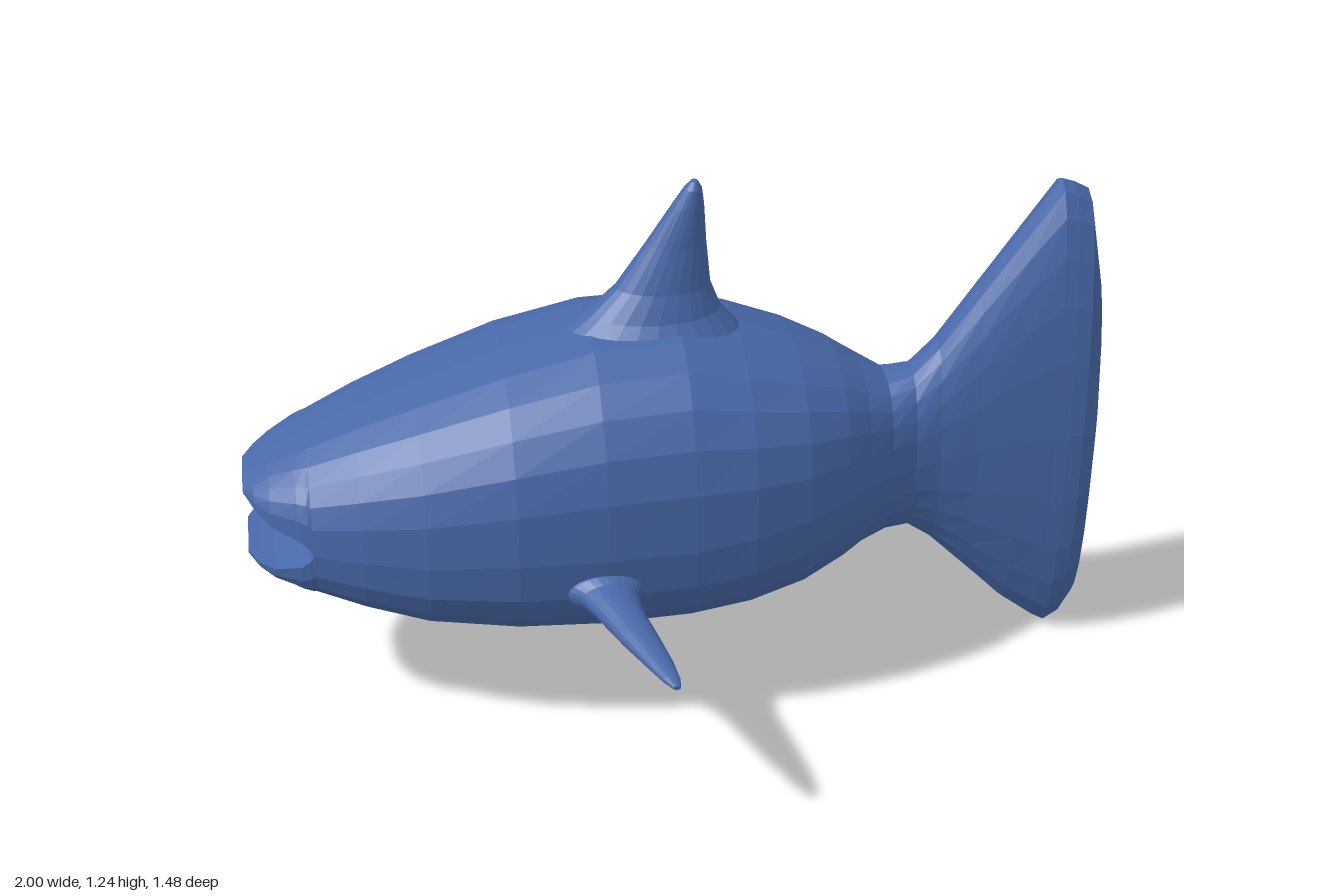
import * as THREE from 'three';

const SEGMENTS = 24;

// Skin a row of superellipse sections along x.
// Section: [x, yBottom, yMid, yTop, halfWidth, zCentre]; n sets the squareness.
function loft(sections, n = 2.5) {
  const pos = [], index = [];
  const power = (v) => Math.sign(v) * Math.abs(v) ** (2 / n);
  for (const [x, lo, mid, hi, w, zc = 0] of sections) {
    for (let j = 0; j < SEGMENTS; j++) {
      const a = (j / SEGMENTS) * Math.PI * 2;
      const c = power(Math.cos(a)), s = power(Math.sin(a));
      pos.push(x, mid + c * (c > 0 ? hi - mid : mid - lo), zc + w * s);
    }
  }
  const last = sections.length - 1;
  for (let i = 0; i < last; i++) {
    for (let j = 0; j < SEGMENTS; j++) {
      const k = (j + 1) % SEGMENTS;
      const a = i * SEGMENTS + j, b = i * SEGMENTS + k;
      index.push(a, b, a + SEGMENTS, b, b + SEGMENTS, a + SEGMENTS);
    }
  }
  // end caps
  for (const i of [0, last]) {
    const [x, lo, mid, hi, , zc = 0] = sections[i];
    const centre = pos.length / 3;
    pos.push(x, (lo + hi) / 2, zc);
    for (let j = 0; j < SEGMENTS; j++) {
      const a = i * SEGMENTS + j, b = i * SEGMENTS + ((j + 1) % SEGMENTS);
      index.push(centre, ...(i === 0 ? [b, a] : [a, b]));
    }
  }
  const geo = new THREE.BufferGeometry();
  geo.setAttribute('position', new THREE.Float32BufferAttribute(pos, 3));
  geo.setIndex(index);
  geo.computeVertexNormals();
  return geo;
}

export function createModel() {
  const group = new THREE.Group();
  const blue = new THREE.MeshStandardMaterial({ color: 0x4868a8, flatShading: true });
  blue.name = 'fish blue';

  const add = (name, geo) => {
    const mesh = new THREE.Mesh(geo, blue);
    mesh.name = name;
    group.add(mesh);
  };

  // Body, from the corner of the mouth to the tail root
  add('body', loft([
    [-0.85, 0.32, 0.49, 0.685, 0.235],
    [-0.74, 0.28, 0.49, 0.735, 0.28],
    [-0.6, 0.24, 0.49, 0.79, 0.325],
    [-0.4, 0.215, 0.5, 0.86, 0.362],
    [-0.2, 0.205, 0.5, 0.91, 0.367],
    [0, 0.208, 0.5, 0.92, 0.357],
    [0.14, 0.222, 0.51, 0.885, 0.337],
    [0.27, 0.25, 0.52, 0.84, 0.295],
    [0.37, 0.285, 0.53, 0.795, 0.235],
    [0.43, 0.31, 0.53, 0.76, 0.185],
    [0.49, 0.33, 0.53, 0.73, 0.135, 0.01],
    [0.55, 0.33, 0.53, 0.745, 0.105, 0.015],
  ]));

  // Tail, flaring into a tall fan with a bulging rear face
  add('tail', loft([
    [0.55, 0.33, 0.53, 0.745, 0.105, 0.015],
    [0.61, 0.285, 0.54, 0.81, 0.098, 0.015],
    [0.7, 0.19, 0.56, 0.94, 0.103, 0.012],
    [0.8, 0.085, 0.58, 1.085, 0.11, 0.01],
    [0.88, 0.02, 0.59, 1.2, 0.116, 0.008],
    [0.91, 0.002, 0.59, 1.19, 0.12, 0.007],
    [0.945, 0.025, 0.59, 1.17, 0.122, 0.006],
    [0.975, 0.08, 0.58, 1.0, 0.115, 0.006],
    [1, 0.4, 0.57, 0.7, 0.045, 0.006],
  ], 2.3));

  // Jaws, half sections either side of the open mouth
  add('upperJaw', loft([
    [-1, 0.575, 0.575, 0.595, 0.075],
    [-0.975, 0.56, 0.56, 0.612, 0.13],
    [-0.94, 0.537, 0.537, 0.637, 0.172],
    [-0.88, 0.522, 0.522, 0.67, 0.218],
    [-0.86, 0.508, 0.508, 0.68, 0.23],
    [-0.85, 0.49, 0.49, 0.685, 0.235],
  ]));
  add('lowerJaw', loft([
    [-1, 0.402, 0.418, 0.418, 0.075],
    [-0.975, 0.385, 0.42, 0.42, 0.13],
    [-0.94, 0.365, 0.425, 0.425, 0.172],
    [-0.88, 0.334, 0.453, 0.453, 0.218],
    [-0.86, 0.325, 0.472, 0.472, 0.23],
    [-0.85, 0.32, 0.49, 0.49, 0.235],
  ]));

  // Dorsal fin: [height, front x, rear x, half thickness, z]
  const dorsal = [
    [0.8, -0.36, 0.24, 0.2, 0],
    [0.88, -0.27, 0.15, 0.13, -0.005],
    [0.93, -0.2, 0.105, 0.088, -0.01],
    [0.99, -0.135, 0.082, 0.064, -0.014],
    [1.09, -0.065, 0.073, 0.044, -0.018],
    [1.18, -0.005, 0.068, 0.031, -0.02],
    [1.22, 0.022, 0.063, 0.022, -0.02],
    [1.237, 0.038, 0.054, 0.01, -0.02],
  ].map(([y, x0, x1, w, z]) => [y, -x1, -(x0 + x1) / 2, -x0, w, z]);
  add('dorsalFin', loft(dorsal, 2).rotateZ(Math.PI / 2));

  // Side fins: [distance out, front x, rear x, half thickness]
  const pectoral = [
    [0.32, -0.31, -0.11, 0.06],
    [0.365, -0.29, -0.125, 0.046],
    [0.385, -0.265, -0.138, 0.038],
    [0.45, -0.238, -0.136, 0.034],
    [0.55, -0.2, -0.116, 0.026],
    [0.65, -0.157, -0.098, 0.017],
    [0.71, -0.13, -0.092, 0.011],
    [0.74, -0.112, -0.096, 0.005],
  ];
  for (const side of [1, -1]) {
    const sections = pectoral.map(([d, x0, x1, t]) =>
      [d, 0.415 - t, 0.415, 0.415 + t, (x1 - x0) / 2, -side * (x0 + x1) / 2]);
    add(side > 0 ? 'frontSideFin' : 'backSideFin',
      loft(sections, 2).rotateY(-side * Math.PI / 2));
  }

  return group;
}
